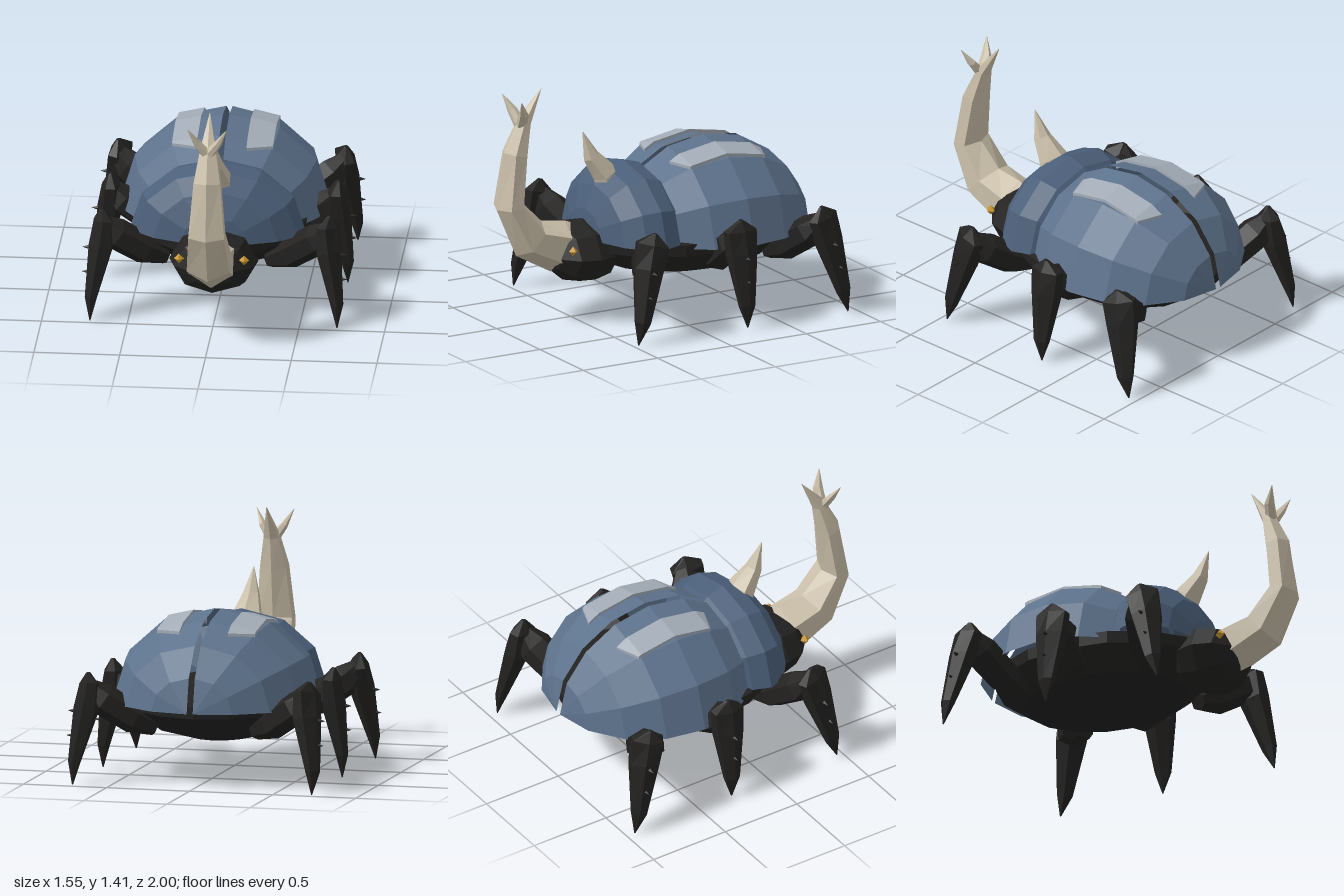
import * as THREE from 'three';

const mat = (color) => new THREE.MeshStandardMaterial({ color, flatShading: true, side: THREE.DoubleSide });
const V = (x, y, z) => new THREE.Vector3(x, y, z);

// Six-sided loft; each section is [x, y, z, halfWidth along side, halfDepth across it]
function loft(sections, side) {
  const n = 6, pos = [], idx = [];
  const c = sections.map((s) => V(s[0], s[1], s[2]));
  const last = c.length - 1;
  c.forEach((p, i) => {
    const t = c[Math.min(i + 1, last)].clone().sub(c[Math.max(i - 1, 0)]).normalize();
    const u = side.clone().addScaledVector(t, -side.dot(t)).normalize();
    const v = t.clone().cross(u);
    const [, , , w, d] = sections[i];
    for (let j = 0; j < n; j++) {
      const a = ((j + 0.5) / n) * Math.PI * 2;
      const q = p.clone().addScaledVector(u, (Math.cos(a) * w) / 0.866).addScaledVector(v, Math.sin(a) * d);
      pos.push(q.x, q.y, q.z);
    }
  });
  for (let i = 0; i < last; i++)
    for (let j = 0; j < n; j++) {
      const a = i * n + j, b = i * n + ((j + 1) % n);
      idx.push(a, b, b + n, a, b + n, a + n);
    }
  // end caps
  for (let j = 1; j < n - 1; j++) {
    idx.push(0, j + 1, j);
    idx.push(last * n, last * n + j, last * n + j + 1);
  }
  const g = new THREE.BufferGeometry();
  g.setAttribute('position', new THREE.Float32BufferAttribute(pos, 3));
  g.setIndex(idx);
  g.computeVertexNormals();
  return g;
}

export function createModel() {
  const root = new THREE.Group();
  const black = mat(0x232221), blue = mat(0x5d728c), darkBlue = mat(0x4b5f79);
  const cream = mat(0xcabfa9), pale = mat(0xa3acb7), gold = mat(0xc8962e);
  const add = (name, geo, material, parent = root) => {
    const m = new THREE.Mesh(geo, material);
    m.name = name;
    parent.add(m);
    return m;
  };

  // Dark underbody
  const profile = [[0, 0.2], [0.35, 0.222], [0.7, 0.285], [0.94, 0.41], [0.95, 0.48], [0, 0.62]];
  const body = new THREE.LatheGeometry(profile.map(([r, y]) => new THREE.Vector2(r, y)), 16);
  body.scale(0.56, 1, 0.72).translate(0, 0, -0.25);
  add('abdomen', body, black);

  // Thorax shield: upper half ellipsoid with its poles on the z axis
  const thorax = new THREE.SphereGeometry(1, 6, 8, 0, Math.PI);
  thorax.rotateX(-Math.PI / 2).scale(0.51, 0.42, 0.28).translate(0, 0.48, 0.15);
  add('thoraxShield', thorax, darkBlue);

  // Height of the top facet of the wing cases
  const ringZ = [0, 22.5, 45].map((a) => Math.sin((a * Math.PI) / 180));
  const ringR = [0, 22.5, 45].map((a) => Math.cos((a * Math.PI) / 180));
  const shellY = (x, z) => {
    const d = Math.abs(z + 0.38) / 0.62;
    const k = d < ringZ[1] ? 0 : 1;
    const r = THREE.MathUtils.lerp(ringR[k], ringR[k + 1], (d - ringZ[k]) / (ringZ[k + 1] - ringZ[k]));
    return 0.45 + 0.53 * r - 0.233 * x;
  };

  for (const s of [1, -1]) {
    const label = s > 0 ? 'left' : 'right';

    // Wing case
    const shell = new THREE.SphereGeometry(1, 3, 6, s > 0 ? Math.PI / 2 : 0, Math.PI / 2, 0, Math.PI * 0.75);
    shell.rotateX(-Math.PI / 2).scale(0.592, 0.53, 0.62).translate(s * 0.018, 0.45, -0.38);
    add(label + 'WingCase', shell, blue);

    // Pale raised stripe, bent over the wing case
    const stripe = new THREE.BoxGeometry(1, 1, 1, 1, 1, 4);
    const p = stripe.attributes.position;
    const steps = [-0.31, -0.237, 0, 0.237, 0.3];
    for (let i = 0; i < p.count; i++) {
      const outer = p.getX(i) * s > 0;
      const x = outer ? 0.295 : 0.145;
      const k = Math.round((p.getZ(i) + 0.5) * 4);
      let dz = steps[k];
      if (outer && (k === 0 || k === 4)) dz *= 0.82;
      const z = -0.38 + dz;
      p.setXYZ(i, s * x, shellY(x, z) + (p.getY(i) > 0 ? 0.02 : -0.03), z);
    }
    stripe.computeVertexNormals();
    add(label + 'Stripe', stripe, pale);

    // Eye
    const eye = add(label + 'Eye', new THREE.OctahedronGeometry(0.03), gold);
    eye.position.set(s * 0.19, 0.455, 0.595);

    // Legs: [name, hip z, knee z, foot z]
    for (const [name, hz, kz, fz] of [['Front', 0.2, 0.32, 0.465], ['Middle', -0.25, -0.255, -0.27], ['Rear', -0.66, -0.8, -0.945]]) {
      const leg = new THREE.Group();
      leg.name = label + name + 'Leg';
      root.add(leg);
      const side = V(-(kz - hz) * s, 0, 0.33).normalize();
      const thighZ = (x) => hz + ((kz - hz) * (x - 0.33)) / 0.33;
      const shinZ = (y) => fz + ((kz - fz) * y) / 0.63;
      const thigh = [[0.3, 0.31, 0.05], [0.42, 0.365, 0.09], [0.59, 0.485, 0.095], [0.66, 0.56, 0.05]];
      add('thigh', loft(thigh.map(([x, y, r]) => [s * x, y, thighZ(x), r, r]), side), black, leg);
      const shin = [[0.665, 0.64, 0.012, 0.012], [0.655, 0.575, 0.095, 0.058], [0.665, 0.43, 0.085, 0.075], [0.718, 0.13, 0.045, 0.037], [0.72, 0, 0.003, 0.003]];
      add('shin', loft(shin.map(([x, y, w, d]) => [s * x, y, shinZ(y), w, d]), side), black, leg);
      // spikes on the outside of the shin
      for (const y of [0.42, 0.28]) {
        const spike = add('spike', new THREE.ConeGeometry(0.016, 0.05, 4), black, leg);
        spike.rotation.z = (-s * Math.PI) / 2;
        spike.position.set(s * 0.75, y, shinZ(y));
      }
    }

    // Side prong of the horn
    add(label + 'HornProng', loft([
      [s * 0.015, 1.215, 0.84, 0.03, 0.03],
      [s * 0.065, 1.285, 0.855, 0.028, 0.022],
      [s * 0.112, 1.375, 0.895, 0.002, 0.002],
    ], V(0, 0, 1)), cream);
  }

  // Head
  const head = new THREE.SphereGeometry(1, 8, 6);
  head.rotateX(Math.PI / 2).scale(0.26, 0.19, 0.23).translate(0, 0.395, 0.44);
  add('head', head, black);

  // Long curved horn
  add('horn', loft([
    [0, 0.42, 0.5, 0.11, 0.14],
    [0, 0.44, 0.59, 0.13, 0.155],
    [0, 0.515, 0.785, 0.125, 0.127],
    [0, 0.73, 0.917, 0.105, 0.083],
    [0, 1.04, 0.875, 0.078, 0.076],
    [0, 1.225, 0.815, 0.045, 0.042],
    [0, 1.408, 0.7, 0.002, 0.002],
  ], V(1, 0, 0)), cream);

  // Short horn on the thorax shield
  add('thoraxHorn', loft([
    [0, 0.77, 0.25, 0.085, 0.08],
    [0, 0.84, 0.28, 0.08, 0.075],
    [0, 0.95, 0.365, 0.045, 0.05],
    [0, 1.105, 0.42, 0.002, 0.002],
  ], V(1, 0, 0)), cream);

  return root;
}
